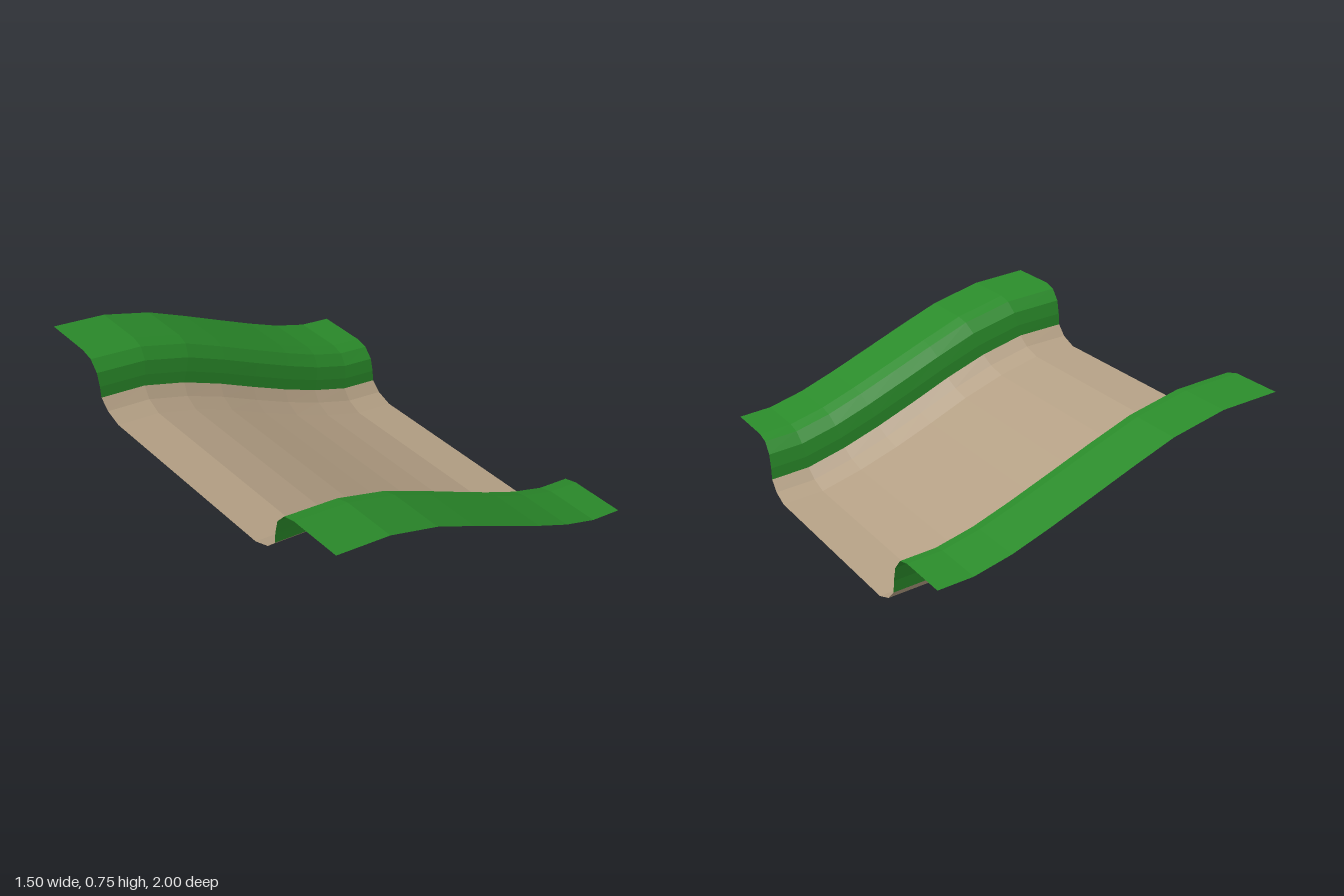
import * as THREE from 'three';

// Downhill path at floor level and at bank-top level: [x, y]
const LOW = [[-0.75, 0.5], [-0.55, 0.48], [-0.36, 0.42], [-0.17, 0.34], [0.01, 0.25], [0.19, 0.165], [0.37, 0.09], [0.56, 0.025], [0.75, 0]];
const HIGH = [[-0.75, 0.75], [-0.5, 0.72], [-0.27, 0.65], [-0.08, 0.563], [0.1, 0.477], [0.28, 0.392], [0.44, 0.322], [0.6, 0.27], [0.75, 0.25]];

// Cross-sections: [z, height above the floor]
const FLOOR = [[0.5, 0], [0.58, 0.028], [0.627, 0.073]];
const BANK = [[0.627, 0.073], [0.632, 0.125], [0.647, 0.187], [0.69, 0.235], [0.75, 0.25], [1, 0.25]];

const mirror = (section) => section.map(([z, h]) => [-z, h]).reverse();

// Sweep a cross-section down the slope, blending between the two paths by height
function sweep(name, section, color) {
  const positions = [], index = [], n = section.length;
  LOW.forEach(([x0, y0], i) => {
    const [x1, y1] = HIGH[i];
    for (const [z, h] of section) {
      const t = h / 0.25;
      positions.push(x0 + (x1 - x0) * t, y0 + (y1 - y0) * t, z);
    }
  });
  for (let i = 0; i < LOW.length - 1; i++) {
    for (let j = 0; j < n - 1; j++) {
      const a = i * n + j, b = a + n;
      index.push(a, a + 1, b, a + 1, b + 1, b);
    }
  }
  const geometry = new THREE.BufferGeometry();
  geometry.setAttribute('position', new THREE.Float32BufferAttribute(positions, 3));
  geometry.setIndex(index);
  geometry.computeVertexNormals();
  const material = new THREE.MeshStandardMaterial({ color, flatShading: true, side: THREE.DoubleSide });
  const mesh = new THREE.Mesh(geometry, material);
  mesh.name = name;
  return mesh;
}

export function createModel() {
  const group = new THREE.Group();
  group.name = 'slopedChannel';
  // Sandy bed with curved-up edges
  group.add(sweep('channelBed', [...mirror(FLOOR), ...FLOOR], 0xb39f84));
  // Grass banks on both sides
  group.add(sweep('frontBank', BANK, 0x2a8a2a));
  group.add(sweep('backBank', mirror(BANK), 0x2a8a2a));
  return group;
}
